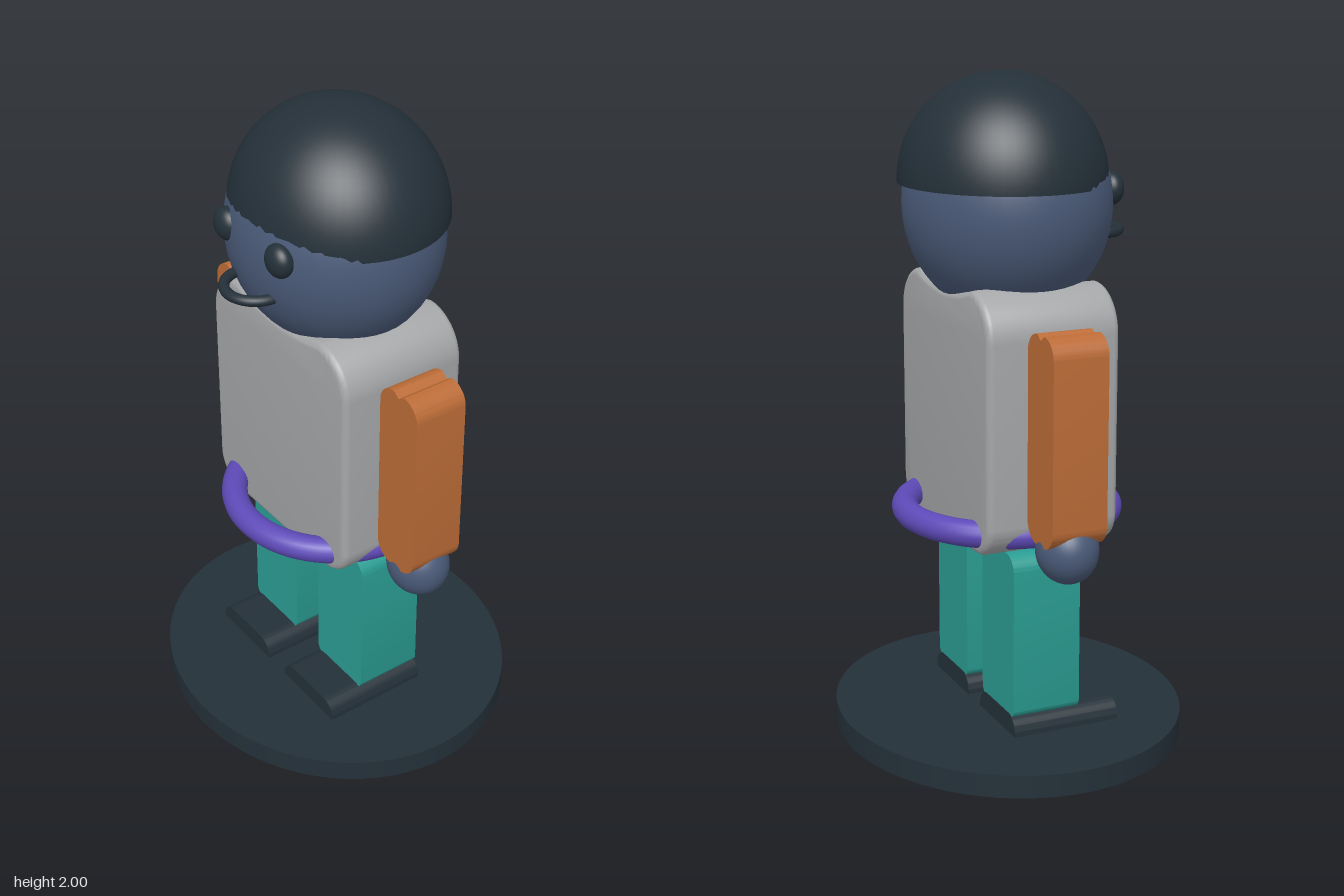
import * as THREE from 'three';
import { toCreasedNormals } from 'three/addons/utils/BufferGeometryUtils.js';

function material(name, color, side = THREE.FrontSide) {
  const m = new THREE.MeshStandardMaterial({ color, side });
  m.name = name;
  return m;
}

// Rounded panel in the front plane, extruded evenly about z = 0.
// rt and rb are the top and bottom corner radii; dip lowers the middle of the top edge.
function panel(w, h, d, { rt, rb = rt, dip = 0, sharp = false, bevel = 0 }) {
  const x = w / 2 - bevel, y = h / 2 - bevel;
  const s = new THREE.Shape();
  s.moveTo(-x + rb, -y);
  s.lineTo(x - rb, -y);
  if (rb > 0) s.absarc(x - rb, -y + rb, rb, -Math.PI / 2, 0, false);
  s.lineTo(x, y - rt);
  s.absarc(x - rt, y - rt, rt, 0, Math.PI / 2, false);
  if (sharp) s.lineTo(0, y - dip);
  else if (dip) s.quadraticCurveTo(0, y - dip * 2, -x + rt, y);
  s.lineTo(-x + rt, y);
  s.absarc(-x + rt, y - rt, rt, Math.PI / 2, Math.PI, false);
  s.lineTo(-x, -y + rb);
  if (rb > 0) s.absarc(-x + rb, -y + rb, rb, Math.PI, Math.PI * 1.5, false);
  const depth = d - bevel * 2;
  const g = new THREE.ExtrudeGeometry(s, {
    depth, curveSegments: 10, bevelEnabled: bevel > 0,
    bevelSize: bevel, bevelThickness: bevel, bevelSegments: 4,
  });
  g.translate(0, 0, -depth / 2);
  return toCreasedNormals(g, 0.6);
}

export function createModel() {
  const model = new THREE.Group();
  model.name = 'figurine';
  const dark = material('charcoal', 0x243039, THREE.DoubleSide);
  const skin = material('slate blue', 0x4a5a78);
  const grey = material('grey', 0xa6a7a9);
  const orange = material('orange', 0xbc6c37);
  const teal = material('teal', 0x2a9d93);
  const purple = material('purple', 0x5e4ab8);

  const add = (name, geometry, mat, x, y, z, scale = [1, 1, 1]) => {
    const mesh = new THREE.Mesh(geometry, mat);
    mesh.name = name;
    mesh.position.set(x, y, z);
    mesh.scale.set(...scale);
    model.add(mesh);
    return mesh;
  };
  const ball = new THREE.SphereGeometry(1, 40, 28);

  // Oval stand
  add('base', new THREE.CylinderGeometry(1, 1, 0.07, 72), dark, 0, 0.035, 0, [0.585, 1, 0.525]);

  // Torso and belt ring
  add('torso', panel(0.67, 0.77, 0.412, { rt: 0.115, rb: 0.085, dip: 0.03, bevel: 0.02 }), grey, 0, 1.02, 0);
  const ring = new THREE.TorusGeometry(0.31, 0.04, 16, 72).rotateX(Math.PI / 2);
  add('belt', ring, purple, 0, 0.697, 0);

  // Limbs, mirrored
  const arm = panel(0.168, 0.61, 0.17, { rt: 0.062, dip: 0.015, sharp: true });
  const leg = panel(0.23, 0.505, 0.215, { rt: 0.05, rb: 0.03 });
  const shoe = panel(0.26, 0.07, 0.34, { rt: 0.05, rb: 0.005 });
  for (const [side, sx] of [['left', 1], ['right', -1]]) {
    add(side + 'Arm', arm, orange, sx * 0.418, 1.005, 0);
    add(side + 'Hand', ball, skin, sx * 0.42, 0.68, 0, [0.1, 0.1, 0.09]);
    add(side + 'Leg', leg, teal, sx * 0.175, 0.373, 0);
    add(side + 'Shoe', shoe, dark, sx * 0.175, 0.095, 0.06);
    add(side + 'Eye', ball, dark, sx * 0.127, 1.66, 0.275, [0.05, 0.05, 0.036]);
  }

  // Head, with the hair cap set slightly back
  add('head', ball, skin, 0, 1.62, 0, [0.335, 0.34, 0.305]);
  const cap = new THREE.SphereGeometry(1, 56, 20, 0, Math.PI * 2, 0, Math.PI / 2);
  add('hair', cap, dark, 0, 1.68, -0.013, [0.335, 0.32, 0.305]);

  // Mouth: forward-bulging half ring
  const smile = new THREE.TorusGeometry(0.09, 0.016, 10, 32, Math.PI).rotateX(Math.PI / 2);
  add('mouth', smile, dark, 0, 1.522, 0.269);

  return model;
}
